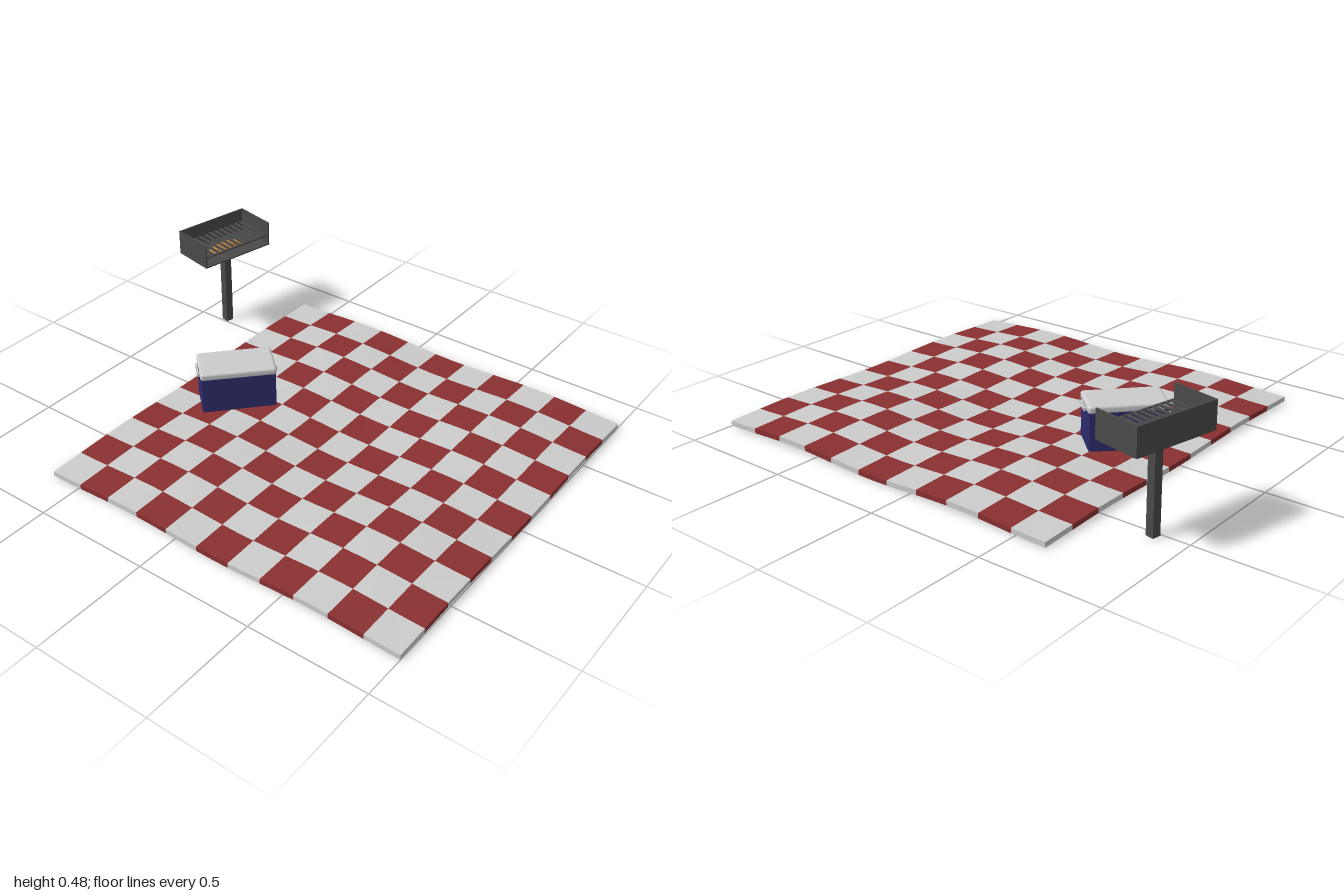
import * as THREE from 'three';
import { mergeGeometries } from 'three/addons/utils/BufferGeometryUtils.js';
import { RoundedBoxGeometry } from 'three/addons/geometries/RoundedBoxGeometry.js';

const mat = (color, side = THREE.FrontSide) => new THREE.MeshStandardMaterial({ color, side });
const white = mat(0xcccccc), red = mat(0x8a3030), blue = mat(0x2c2c6c);
const steel = mat(0x4a4a4a), ember = mat(0xd08a30);

function add(parent, name, geometry, material, x = 0, y = 0, z = 0) {
  const mesh = new THREE.Mesh(geometry, material);
  mesh.name = name;
  mesh.position.set(x, y, z);
  parent.add(mesh);
  return mesh;
}

// Gentle waves of the cloth, as height of its underside
function wave(x, z) {
  return 0.012 - 0.0075 * Math.cos((x - 0.2) * Math.PI * 2 / 0.84)
    - 0.005 * Math.cos((z + 0.02) * Math.PI * 2 / 0.9);
}

// Chequered cloth: one rippled slab, its triangles sorted by square
function blanket() {
  const group = new THREE.Group();
  group.name = 'blanket';
  const cells = 11, size = 1.633, cx = 0.183, thick = 0.021;
  const slab = new THREE.BoxGeometry(size, thick, size, cells * 2, 1, cells * 2);
  slab.translate(cx, thick / 2, 0);
  const p = slab.attributes.position;
  for (let i = 0; i < p.count; i++) p.setY(i, p.getY(i) + wave(p.getX(i), p.getZ(i)));
  slab.computeVertexNormals();
  const flat = slab.toNonIndexed();
  const pos = flat.attributes.position.array, nor = flat.attributes.normal.array;
  const sets = [{ p: [], n: [] }, { p: [], n: [] }];
  const cell = (v) => Math.min(cells - 1, Math.max(0, Math.floor((v / size + 0.5) * cells)));
  for (let i = 0; i < pos.length; i += 9) {
    const mx = (pos[i] + pos[i + 3] + pos[i + 6]) / 3 - cx;
    const mz = (pos[i + 2] + pos[i + 5] + pos[i + 8]) / 3;
    const set = sets[(cell(mx) + cell(mz)) % 2];
    set.p.push(...pos.slice(i, i + 9));
    set.n.push(...nor.slice(i, i + 9));
  }
  sets.forEach((set, k) => {
    const g = new THREE.BufferGeometry();
    g.setAttribute('position', new THREE.Float32BufferAttribute(set.p, 3));
    g.setAttribute('normal', new THREE.Float32BufferAttribute(set.n, 3));
    add(group, k ? 'redSquares' : 'whiteSquares', g, k ? red : white);
  });
  return group;
}

// Cool box with a rounded lid and a handle at each end
function cooler() {
  const group = new THREE.Group();
  group.name = 'cooler';
  add(group, 'coolerBody', new RoundedBoxGeometry(0.312, 0.165, 0.176, 2, 0.006), blue, 0, 0.1125, 0);
  add(group, 'coolerLid', new RoundedBoxGeometry(0.318, 0.034, 0.18, 3, 0.012), white, 0, 0.203, 0);
  for (const s of [-1, 1]) {
    add(group, 'handleGrip', new THREE.BoxGeometry(0.008, 0.014, 0.085), white, s * 0.165, 0.191, 0);
    for (const t of [-1, 1])
      add(group, 'handleArm', new THREE.BoxGeometry(0.012, 0.014, 0.01), white, s * 0.161, 0.191, t * 0.0375);
  }
  group.position.set(-0.375, 0, -0.003);
  group.rotation.y = 0.82;
  return group;
}

// Park grill: post, tray open on one long side, grate and glowing coals
function grill() {
  const group = new THREE.Group();
  group.name = 'grill';
  const w = 0.197, l = 0.36, low = 0.372, high = 0.483, t = 0.006;
  const h = high - low, mid = (high + low) / 2;
  add(group, 'post', new THREE.BoxGeometry(0.035, low, 0.035), steel, 0, low / 2, 0);
  add(group, 'trayFloor', new THREE.BoxGeometry(w, t, l), steel, 0, low + t / 2, 0);
  add(group, 'trayBack', new THREE.BoxGeometry(t, h, l), steel, -w / 2 + t / 2, mid, 0);
  for (const s of [-1, 1])
    add(group, 'trayEnd', new THREE.BoxGeometry(w, h, t), steel, 0, mid, s * (l / 2 - t / 2));

  const bars = [];
  const count = 12;
  for (let i = 0; i < count; i++) {
    const bar = new THREE.BoxGeometry(w - t, 0.006, 0.013);
    bars.push(bar.translate(t / 2, 0.422, ((i + 0.5) / count - 0.5) * (l - 2 * t)));
  }
  add(group, 'grateBars', mergeGeometries(bars), steel);
  add(group, 'grateRail', new THREE.BoxGeometry(0.006, 0.006, l - 2 * t), steel, w / 2 - 0.003, 0.422, 0);

  const coals = add(group, 'coals', new THREE.SphereGeometry(1, 24, 8, 0, Math.PI * 2, 0, Math.PI / 2),
    ember, 0, low + t, 0);
  coals.scale.set(0.036, 0.025, 0.095);
  group.position.set(-0.864, 0, -0.522);
  group.rotation.y = -0.215;
  return group;
}

export function createModel() {
  const model = new THREE.Group();
  model.name = 'picnicSet';
  model.add(blanket(), cooler(), grill());
  return model;
}
